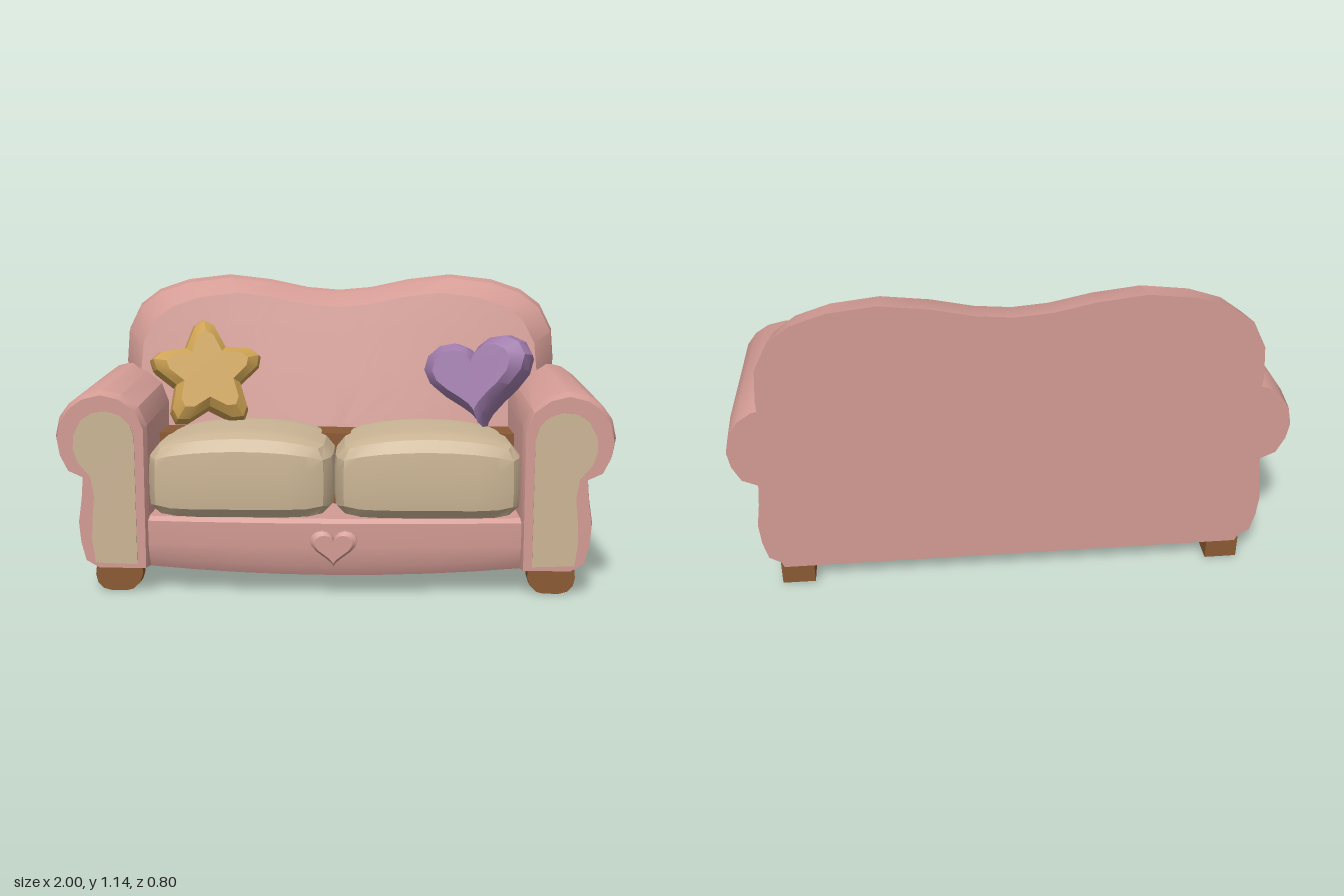
import * as THREE from 'three';
import { toCreasedNormals } from 'three/addons/utils/BufferGeometryUtils.js';

const mat = (name, color) => {
  const m = new THREE.MeshStandardMaterial({ color });
  m.name = name;
  return m;
};

// Skin a list of equal-length rings ordered along +z, with both ends capped.
function loft(rings) {
  const flat = r => r.map(p => new THREE.Vector2(p[0], p[1]));
  if (THREE.ShapeUtils.area(flat(rings[0])) < 0) rings = rings.map(r => [...r].reverse());
  const n = rings[0].length, idx = [];
  for (let k = 0; k < rings.length - 1; k++) {
    for (let i = 0; i < n; i++) {
      const j = (i + 1) % n, a = k * n, b = a + n;
      idx.push(a + i, a + j, b + j, a + i, b + j, b + i);
    }
  }
  const top = (rings.length - 1) * n;
  for (const [a, b, c] of THREE.ShapeUtils.triangulateShape(flat(rings[0]), [])) idx.push(c, b, a);
  for (const [a, b, c] of THREE.ShapeUtils.triangulateShape(flat(rings.at(-1)), [])) idx.push(top + a, top + b, top + c);
  const g = new THREE.BufferGeometry();
  g.setAttribute('position', new THREE.Float32BufferAttribute(rings.flat(2), 3));
  g.setIndex(idx);
  return toCreasedNormals(g, 0.5);
}

// Rings from one outline: each step is [z, scale].
const scaled = (outline, steps, cy = 0) =>
  steps.map(([z, s]) => outline.map(([x, y]) => [x * s, cy + (y - cy) * s, z]));

function heartOutline(halfWidth, height, n) {
  return Array.from({ length: n }, (_, i) => {
    const t = (i / n) * Math.PI * 2;
    const y = 13 * Math.cos(t) - 5 * Math.cos(2 * t) - 2 * Math.cos(3 * t) - Math.cos(4 * t);
    return [halfWidth * Math.sin(t) ** 3, ((y + 2.5) / 29) * height];
  });
}

// Star with blunt, rounded points
function starOutline(outer, inner) {
  const pts = [];
  for (let i = 0; i < 5; i++) {
    const a = Math.PI / 2 + (i * Math.PI * 2) / 5;
    for (const [d, r] of [[-0.19, 0.91], [0, 1], [0.19, 0.91]])
      pts.push([Math.cos(a + d) * outer * r, Math.sin(a + d) * outer * r]);
    const b = a + Math.PI / 5;
    pts.push([Math.cos(b) * inner, Math.sin(b) * inner]);
  }
  return pts;
}

export function createModel() {
  const pink = mat('pink fabric', 0xd39b94);
  const tan = mat('tan fabric', 0xcbb595);
  const gold = mat('gold fabric', 0xcba052);
  const purple = mat('purple fabric', 0x9f7bab);
  const brown = mat('brown wood', 0x8a5a34);

  const sofa = new THREE.Group();
  sofa.name = 'sofa';
  const add = (name, geometry, material, x = 0, y = 0, z = 0) => {
    const m = new THREE.Mesh(geometry, material);
    m.name = name;
    m.position.set(x, y, z);
    sofa.add(m);
    return m;
  };

  // Backrest: twin-humped outline, rounded rim, front face leaning back
  const half = [[0.85, 0.25], [0.87, 0.6], [0.88, 0.8], [0.87, 0.92], [0.82, 1.02], [0.74, 1.08],
    [0.62, 1.12], [0.45, 1.14], [0.28, 1.12], [0.13, 1.088]];
  const backOutline = [...half, [0, 1.077], ...half.map(([x, y]) => [-x, y]).reverse()];
  const backRings = scaled(backOutline, [[-0.4, 1], [-0.3, 0.98], [-0.225, 0.89], [0, 0.7], [0, 0.4], [0, 0.1]], 0.5);
  backRings.slice(2).forEach(r => r.forEach(p => {
    p[2] = -0.225 + Math.max(0, 1.07 - p[1]) * 0.24 * (1 - 0.5 * p[0] * p[0]);
  }));
  add('backrest', loft(backRings), pink);

  // Base: bowed front apron with a curved lower edge
  const plan = [[-0.87, 0.4], [-0.87, -0.3]];
  for (let i = 1; i < 10; i++) {
    const u = i / 5 - 1;
    plan.push([0.87 * u, -0.3 - 0.05 * (1 - u * u)]);
  }
  plan.push([0.87, -0.3], [0.87, 0.4]);
  const baseRings = [[0.07, 0.025], [0.11, 0.006], [0.18, 0], [0.265, 0], [0.28, 0.015]].map(([h, inset], k) =>
    plan.map(([x, y]) => [
      x * (1 - inset),
      y < 0 ? y + inset : y,
      h + (k < 2 ? (y < 0 ? 0.035 * (x / 0.87) ** 2 : 0.012) : 0),
    ]));
  add('base', loft(baseRings).rotateX(-Math.PI / 2), pink);
  add('apronHeart', loft(scaled(heartOutline(0.085, 0.13, 28), [[0.33, 1], [0.365, 1], [0.376, 0.8]])),
    pink, 0, 0.176, 0);
  add('innerFrame', new THREE.BoxGeometry(1.36, 0.3, 0.22), brown, 0, 0.4, -0.04);

  // Rolled arms, front panels and feet, mirrored
  const armOutline = [[0.67, 0.1], [0.85, 0.1], [0.9, 0.13], [0.918, 0.2], [0.925, 0.28], [0.912, 0.37],
    [0.905, 0.455], [0.96, 0.48], [0.99, 0.54], [1, 0.6], [0.985, 0.67], [0.95, 0.72], [0.9, 0.755],
    [0.83, 0.772], [0.76, 0.755], [0.7, 0.71], [0.67, 0.64]];
  const panelOutline = [[0.71, 0.11], [0.86, 0.115], [0.872, 0.2], [0.868, 0.28], [0.86, 0.36], [0.872, 0.43],
    [0.915, 0.48], [0.932, 0.53], [0.928, 0.58], [0.9, 0.635], [0.86, 0.66], [0.81, 0.665], [0.76, 0.65],
    [0.725, 0.615], [0.712, 0.57]];
  const footOutline = [[0.7, 0.12], [0.7, 0.06], [0.71, 0.03], [0.735, 0.006], [0.76, 0], [0.815, 0],
    [0.845, 0.008], [0.865, 0.03], [0.872, 0.06], [0.865, 0.12]];
  for (const [side, s] of [['left', 1], ['right', -1]]) {
    const rings = [[-0.4, 1, 1], [-0.3, 1.022, 1], [0.31, 0.958, 1], [0.342, 0.95, 0.94]].map(([z, sy, inset]) =>
      armOutline.map(([x, y]) => [
        s * (0.82 + (x - 0.82) * inset),
        0.1 + (y * sy - 0.1) * (inset < 1 ? 0.985 : 1),
        z,
      ]));
    add(side + 'Arm', loft(rings), pink);
    const flip = o => o.map(([x, y]) => [s * x, y]);
    add(side + 'ArmPanel', loft(scaled(flip(panelOutline), [[0.34, 1], [0.346, 1]])), tan);
    add(side + 'FrontFoot', loft(scaled(flip(footOutline), [[0.25, 1], [0.302, 1]])), brown);
    add(side + 'BackFoot', new THREE.BoxGeometry(0.12, 0.09, 0.11), brown, s * 0.8, 0.053, -0.345);

    // Seat cushion: box softened to a pillow, with a domed top
    const g = new THREE.BoxGeometry(2, 2, 2, 8, 6, 8);
    const p = g.attributes.position;
    for (let i = 0; i < p.count; i++) {
      const v = [p.getX(i), p.getY(i), p.getZ(i)];
      const k = 1 / Math.pow(v.reduce((t, c) => t + Math.abs(c) ** 6, 0), 1 / 6);
      const [x, y, z] = v.map(c => c * k);
      const dome = y > 0 ? 0.045 * y * (1 - x * x) : 0;
      p.setXYZ(i, x * 0.337, y * 0.135 + dome, z * 0.275);
    }
    add(side + 'SeatCushion', toCreasedNormals(g, 0.45), tan, s * 0.336, 0.413, 0.125);
  }

  // Throw pillows leaning against the backrest
  const puff = t => [[-t, 0.72], [-t * 0.6, 0.94], [0, 1], [t * 0.6, 0.94], [t, 0.72]];
  const star = add('starPillow', loft(scaled(starOutline(0.225, 0.135), puff(0.075))), gold, -0.5, 0.755, -0.025);
  star.rotation.set(-0.35, 0.22, 0.1);
  const heart = add('heartPillow', loft(scaled(heartOutline(0.215, 0.34, 24), puff(0.09))), purple, 0.545, 0.735, 0);
  heart.rotation.set(-0.3, -0.45, 0.06);

  return sofa;
}
